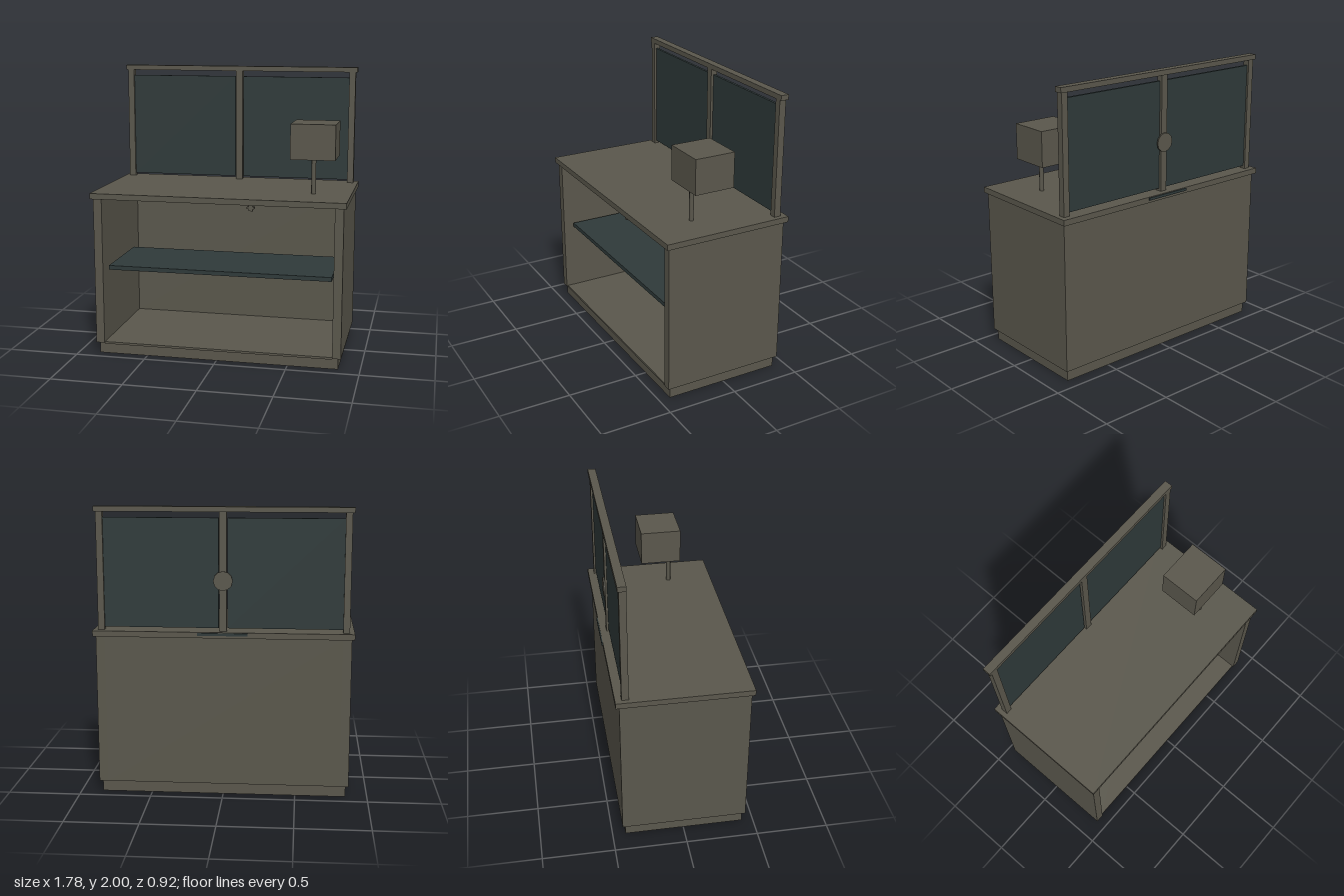
import * as THREE from 'three';

export function createModel() {
  const model = new THREE.Group();
  model.name = 'serviceCounter';
  const taupe = new THREE.MeshStandardMaterial({ color: 0x5a574c });
  taupe.name = 'taupe';
  const slate = new THREE.MeshStandardMaterial({ color: 0x2f3a3a });
  slate.name = 'darkSlate';

  // Box given by its limits on each axis
  function box(name, material, [x0, x1], [y0, y1], [z0, z1]) {
    const mesh = new THREE.Mesh(new THREE.BoxGeometry(x1 - x0, y1 - y0, z1 - z0), material);
    mesh.position.set((x0 + x1) / 2, (y0 + y1) / 2, (z0 + z1) / 2);
    mesh.name = name;
    model.add(mesh);
    return mesh;
  }

  // Plinth and open-fronted cabinet
  box('plinth', taupe, [-0.85, 0.85], [0, 0.08], [-0.41, 0.42]);
  box('cabinetFloor', taupe, [-0.81, 0.81], [0.07, 0.085], [-0.4, 0.43]);
  box('backPanel', taupe, [-0.81, 0.81], [0.08, 1.12], [-0.43, -0.4]);
  box('shelf', slate, [-0.79, 0.79], [0.6, 0.63], [-0.22, 0.37]);
  box('countertop', taupe, [-0.888, 0.888], [1.12, 1.16], [-0.455, 0.46]);
  box('rearNameplate', slate, [-0.17, 0.17], [1.138, 1.156], [-0.463, -0.455]);

  // Small latch under the countertop
  box('latchPlate', taupe, [0.215, 0.265], [1.09, 1.105], [0.4, 0.43]);
  box('latchTongue', taupe, [0.225, 0.255], [1.075, 1.12], [0.405, 0.425]);

  // Paired side panels, screen posts and screen panes
  for (const side of [-1, 1]) {
    const span = (a, b) => (side > 0 ? [a, b] : [-b, -a]);
    const label = side > 0 ? 'left' : 'right';
    box(label + 'SidePanel', taupe, span(0.81, 0.87), [0.08, 1.12], [-0.43, 0.44]);
    box(label + 'Post', taupe, span(0.81, 0.855), [1.16, 1.965], [-0.412, -0.365]);
    box(label + 'ScreenPane', slate, span(0.03, 0.81), [1.18, 1.925], [-0.398, -0.38]);
  }
  box('centrePost', taupe, [-0.025, 0.025], [1.16, 1.965], [-0.412, -0.365]);
  box('topRail', taupe, [-0.87, 0.868], [1.965, 2], [-0.422, -0.365]);

  // Round boss on the back of the centre post
  const boss = new THREE.Mesh(new THREE.CylinderGeometry(0.066, 0.066, 0.01, 12), taupe);
  boss.rotation.x = Math.PI / 2;
  boss.position.set(0, 1.505, -0.417);
  boss.name = 'rearBoss';
  model.add(boss);

  // Display box on a slim stand
  const stand = new THREE.Mesh(new THREE.CylinderGeometry(0.016, 0.016, 0.24, 8), taupe);
  stand.position.set(0.627, 1.28, 0.138);
  stand.name = 'displayStand';
  model.add(stand);
  box('displayBox', taupe, [0.47, 0.78], [1.4, 1.645], [-0.088, 0.2]);

  return model;
}
